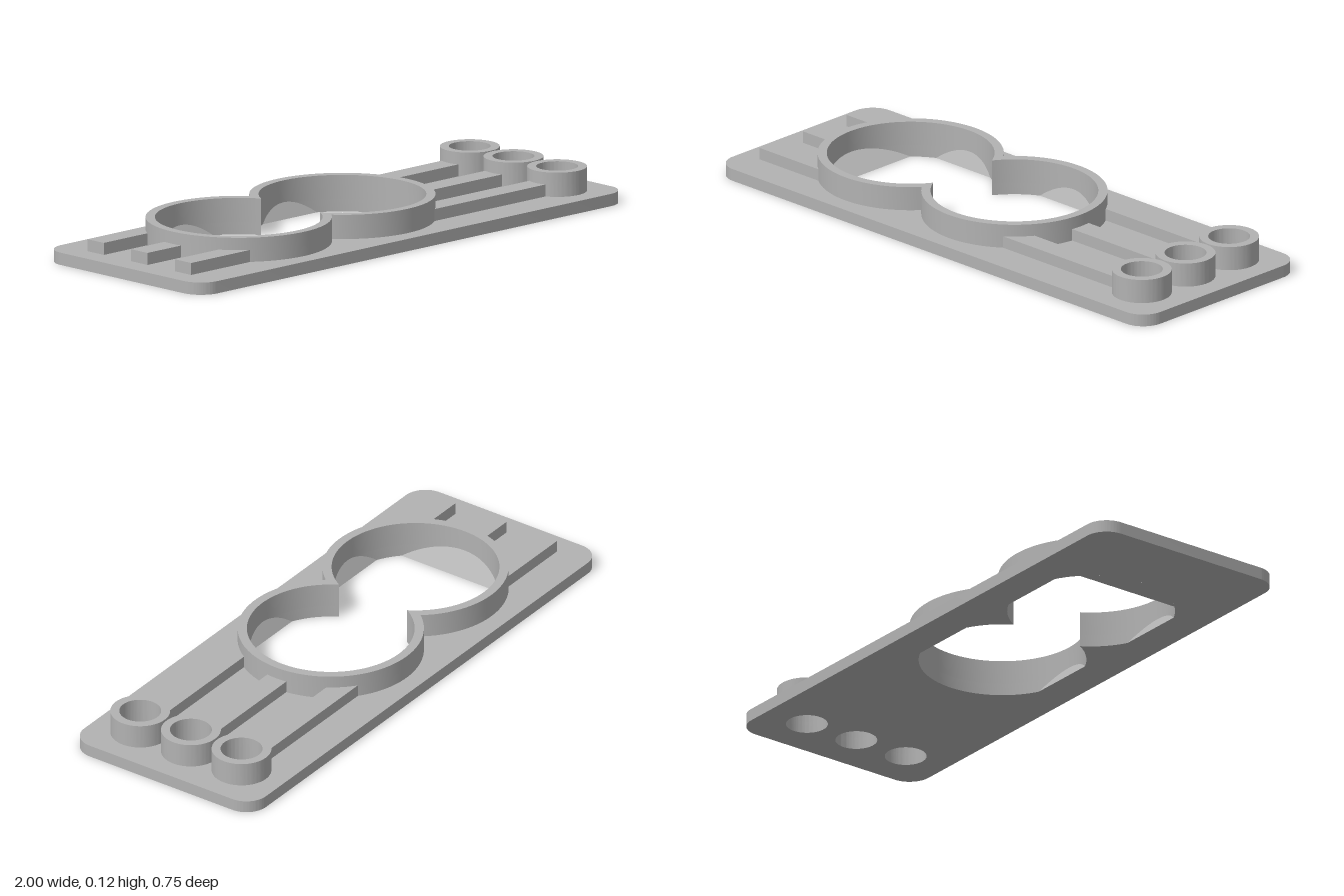
import * as THREE from 'three';
import { toCreasedNormals } from 'three/addons/utils/BufferGeometryUtils.js';

const PLATE_TOP = 0.042, RIM_TOP = 0.125, BAR_TOP = 0.083;
const LEFT_X = -0.455, RIGHT_X = 0.03;        // centres of the two large circles
const R_OUT = 0.311, R_IN = 0.28;
const POST_X = 0.83, POST_OUT = 0.1, POST_IN = 0.07;
const ROWS = [-0.208, 0, 0.208];

// Outline of two overlapping circles
function figureEight(path, r) {
  const a = Math.acos((RIGHT_X - LEFT_X) / 2 / r);
  path.absarc(LEFT_X, 0, r, a, Math.PI * 2 - a, false);
  path.absarc(RIGHT_X, 0, r, Math.PI + a, Math.PI * 3 - a, false);
  return path;
}

function circle(path, x, y, r) {
  path.absarc(x, y, r, 0, Math.PI * 2, false);
  return path;
}

// Extrude a plan shape upward between two heights
function slab(shape, y0, y1) {
  const g = new THREE.ExtrudeGeometry(shape, { depth: y1 - y0, bevelEnabled: false, curveSegments: 48 });
  g.rotateX(-Math.PI / 2);
  g.translate(0, y0, 0);
  return toCreasedNormals(g, 0.5);
}

// Sloped wedge filling a circle segment beyond a chord, pointing along +x
function rampGeometry(chord, rise) {
  const half = Math.acos(chord / R_IN), n = 24, pos = [];
  const slope = rise / (R_IN - chord);
  const at = (i) => {
    const t = -half + (2 * half * i) / n;
    const x = R_IN * Math.cos(t), z = R_IN * Math.sin(t);
    return { q: [chord, 0, z], p: [x, (x - chord) * slope, z], b: [x, 0, z] };
  };
  for (let i = 0; i < n; i++) {
    const u = at(i), v = at(i + 1);
    pos.push(...u.q, ...v.q, ...v.p, ...u.q, ...v.p, ...u.p);
    pos.push(...u.q, ...v.b, ...v.q, ...u.q, ...u.b, ...v.b);
  }
  const g = new THREE.BufferGeometry();
  g.setAttribute('position', new THREE.Float32BufferAttribute(pos, 3));
  g.computeVertexNormals();
  return g;
}

export function createModel() {
  const model = new THREE.Group();
  model.name = 'mountingPlate';
  const grey = new THREE.MeshStandardMaterial({ color: 0xb2b2b2 });
  grey.name = 'grey';
  const add = (name, geometry) => {
    const mesh = new THREE.Mesh(geometry, grey);
    mesh.name = name;
    model.add(mesh);
    return mesh;
  };

  // Rounded base plate with its openings
  const w = 1, d = 0.373, r = 0.08;
  const plate = new THREE.Shape();
  plate.absarc(w - r, d - r, r, 0, Math.PI / 2, false);
  plate.absarc(-w + r, d - r, r, Math.PI / 2, Math.PI, false);
  plate.absarc(-w + r, -d + r, r, Math.PI, Math.PI * 1.5, false);
  plate.absarc(w - r, -d + r, r, Math.PI * 1.5, Math.PI * 2, false);
  plate.holes.push(figureEight(new THREE.Path(), R_IN));
  for (const z of ROWS) plate.holes.push(circle(new THREE.Path(), POST_X, z, POST_IN));
  add('basePlate', slab(plate, 0, PLATE_TOP));

  // Raised double-circle rim
  const rim = figureEight(new THREE.Shape(), R_OUT);
  rim.holes.push(figureEight(new THREE.Path(), R_IN));
  add('doubleRim', slab(rim, PLATE_TOP, RIM_TOP));

  // Sloped ledges inside the opening
  const ledge = (name, x, turn, chord) => {
    const mesh = add(name, rampGeometry(chord, 0.05));
    mesh.position.x = x;
    mesh.rotation.y = turn;
  };
  ledge('endLedge', LEFT_X, Math.PI, 0.197);
  for (const x of [LEFT_X, RIGHT_X]) {
    for (const s of [-1, 1]) ledge('sideLedge', x, (s * Math.PI) / 2, 0.25);
  }

  for (const z of ROWS) {
    // Tubular post
    const post = circle(new THREE.Shape(), POST_X, z, POST_OUT);
    post.holes.push(circle(new THREE.Path(), POST_X, z, POST_IN));
    add('post', slab(post, PLATE_TOP, RIM_TOP));

    // Rails on both sides of the rim, their inner ends following its curve
    for (const [cx, s, end] of [[LEFT_X, -1, -0.92], [RIGHT_X, 1, 0.75]]) {
      const pts = [new THREE.Vector2(end, z - 0.039), new THREE.Vector2(end, z + 0.039)];
      for (let i = 0; i <= 6; i++) {
        const v = z + 0.039 - (0.078 * i) / 6;
        pts.push(new THREE.Vector2(cx + s * Math.sqrt(0.295 ** 2 - v * v), v));
      }
      add('rail', slab(new THREE.Shape(pts), PLATE_TOP, BAR_TOP));
    }
  }
  return model;
}
